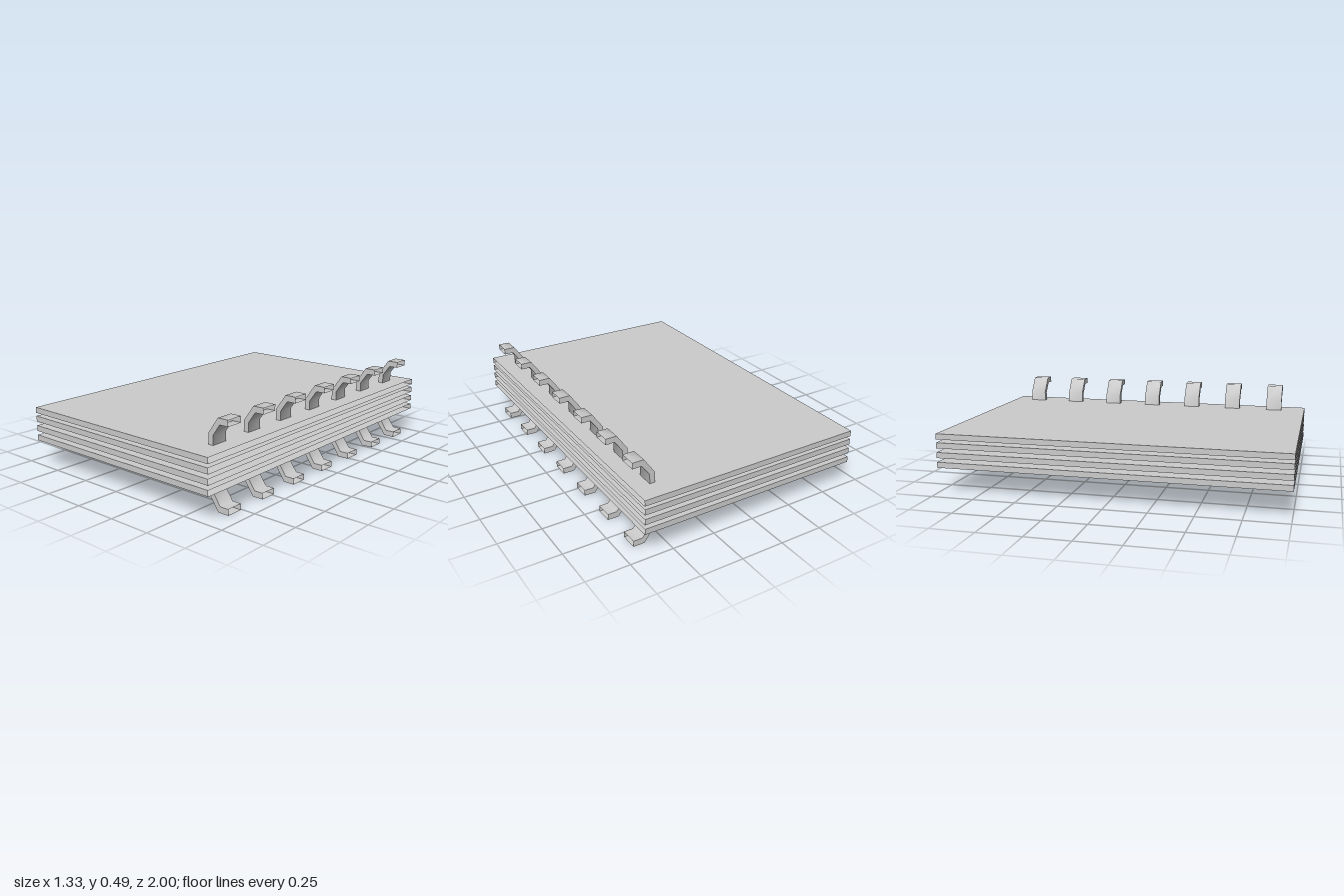
import * as THREE from 'three';
import { toCreasedNormals } from 'three/addons/utils/BufferGeometryUtils.js';

const EDGE = 0.666; // half width; sheets and rings are cut open at x = +EDGE
const MID = 0.247; // height of the stack's middle

// Remove the triangles that lie on the plane x = +EDGE, leaving hollow open ends.
function openAtEdge(geometry) {
  const source = geometry.index ? geometry.toNonIndexed() : geometry;
  const p = source.attributes.position;
  const kept = [];
  for (let i = 0; i < p.count; i += 3) {
    const corners = [i, i + 1, i + 2];
    if (corners.every((c) => p.getX(c) > EDGE - 0.001)) continue;
    for (const c of corners) kept.push(p.getX(c), p.getY(c), p.getZ(c));
  }
  const result = new THREE.BufferGeometry();
  result.setAttribute('position', new THREE.Float32BufferAttribute(kept, 3));
  return toCreasedNormals(result, 1.1);
}

export function createModel() {
  const group = new THREE.Group();
  const material = new THREE.MeshStandardMaterial({ color: 0xcccccc, side: THREE.DoubleSide });

  // Stacked sheets
  const sheetGeometry = openAtEdge(new THREE.BoxGeometry(EDGE * 2, 0.033, 2));
  [0.163, 0.22, 0.277, 0.329].forEach((y, i) => {
    const sheet = new THREE.Mesh(sheetGeometry, material);
    sheet.name = `sheet${i + 1}`;
    sheet.position.y = y;
    group.add(sheet);
  });

  // Binding ring: half profile mirrored about the stack's middle
  const outer = [[EDGE, 0.247], [0.6, 0.247], [0.538, 0.158]];
  const inner = [[EDGE, 0.213], [0.612, 0.213], [0.568, 0.151]];
  const mirrored = (pts) => pts.map(([x, y]) => [x, -y]).reverse();
  const outline = [...outer, ...mirrored(outer), ...mirrored(inner).reverse(), ...inner.slice().reverse()];
  const shape = new THREE.Shape(outline.map(([x, y]) => new THREE.Vector2(x, y)));
  const width = 0.097;
  const ringGeometry = openAtEdge(
    new THREE.ExtrudeGeometry(shape, { depth: width, bevelEnabled: false }).translate(0, MID, -width / 2)
  );

  // Row of seven rings along the open edge
  for (let i = 0; i < 7; i++) {
    const ring = new THREE.Mesh(ringGeometry, material);
    ring.name = `bindingRing${i + 1}`;
    ring.position.z = 0.805 - i * 0.2733;
    group.add(ring);
  }
  return group;
}
